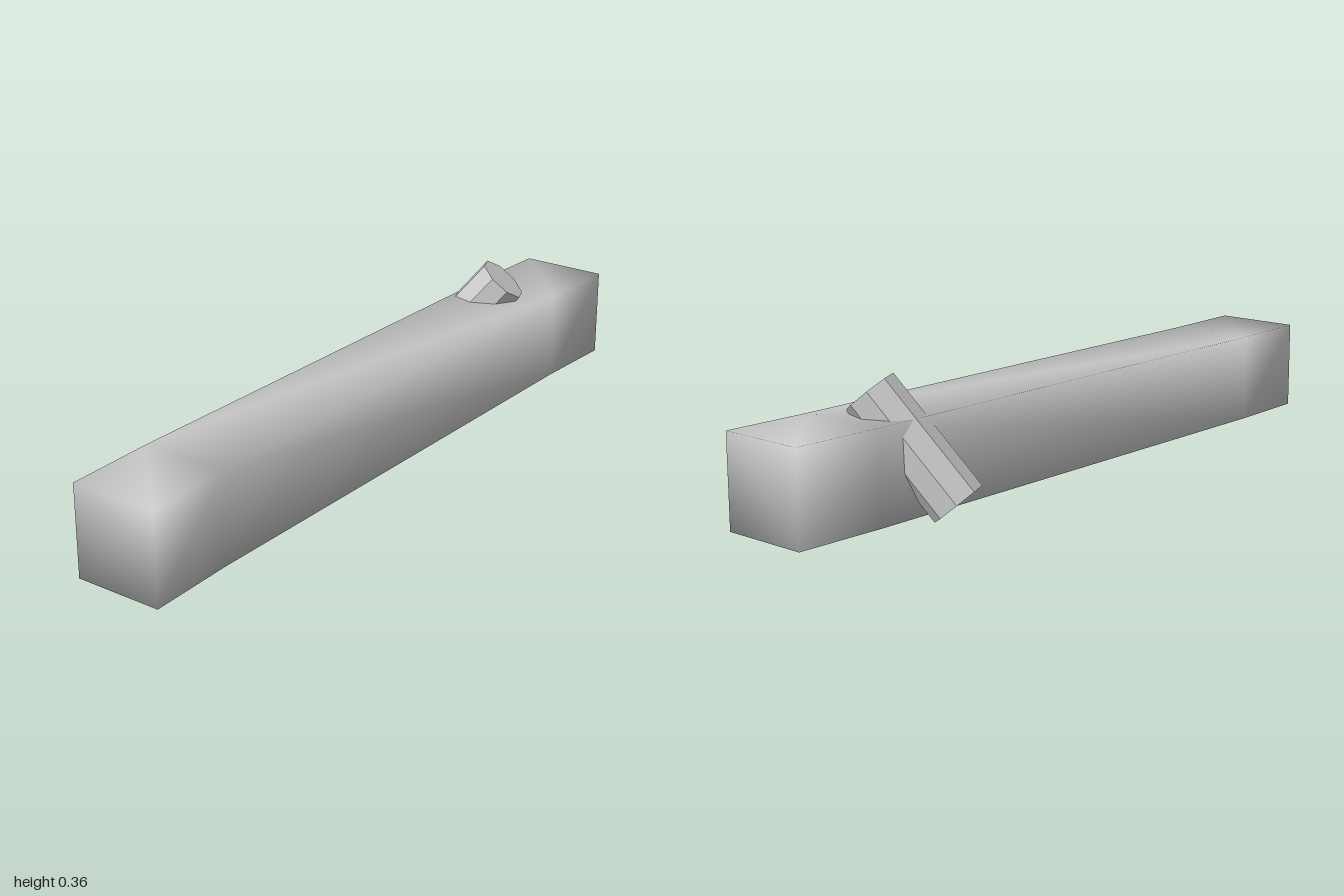
import * as THREE from 'three';

const material = new THREE.MeshStandardMaterial({ color: 0xcccccc, side: THREE.DoubleSide });

// Squared beam, slightly bowed towards the back, with soft shared normals
function createBeam() {
  const sections = [
    { x: -1, bow: 0 }, { x: -0.75, bow: 0.009 },
    { x: 0.75, bow: 0.009 }, { x: 1, bow: 0 },
  ];
  const corners = [[0.014, 0.194], [0.014, -0.053], [0.263, -0.053], [0.263, 0.194]];
  const positions = [], index = [];
  for (const { x, bow } of sections)
    for (const [y, z] of corners) positions.push(x, y, z - bow);

  const last = sections.length - 1;
  for (let i = 0; i < last; i++) {
    for (let j = 0; j < 4; j++) {
      const k = (j + 1) % 4;
      const a = i * 4 + j, b = i * 4 + k, c = b + 4, d = a + 4;
      // the long faces split one way, the short end facets the other
      if (i === 1) index.push(a, b, c, a, c, d);
      else index.push(a, b, d, b, c, d);
    }
  }
  // end caps
  const e = last * 4;
  index.push(e, e + 1, e + 3, e + 1, e + 2, e + 3);
  index.push(0, 3, 1, 1, 3, 2);

  const geometry = new THREE.BufferGeometry();
  geometry.setAttribute('position', new THREE.Float32BufferAttribute(positions, 3));
  geometry.setIndex(index);
  geometry.computeVertexNormals();
  const beam = new THREE.Mesh(geometry, material);
  beam.name = 'beam';
  return beam;
}

// Eight-sided peg driven diagonally through the beam
function createPeg() {
  const top = new THREE.Vector3(0.655, 0.317, 0.067);
  const bottom = new THREE.Vector3(0.557, 0.048, -0.135);
  const axis = top.clone().sub(bottom);
  const pegMaterial = material.clone();
  pegMaterial.flatShading = true;
  const peg = new THREE.Mesh(
    new THREE.CylinderGeometry(0.074, 0.074, axis.length(), 8), pegMaterial);
  peg.position.copy(top).add(bottom).multiplyScalar(0.5);
  peg.quaternion.setFromUnitVectors(new THREE.Vector3(0, 1, 0), axis.normalize());
  peg.name = 'peg';
  return peg;
}

export function createModel() {
  const model = new THREE.Group();
  model.name = 'beamWithPeg';
  model.add(createBeam(), createPeg());
  return model;
}
